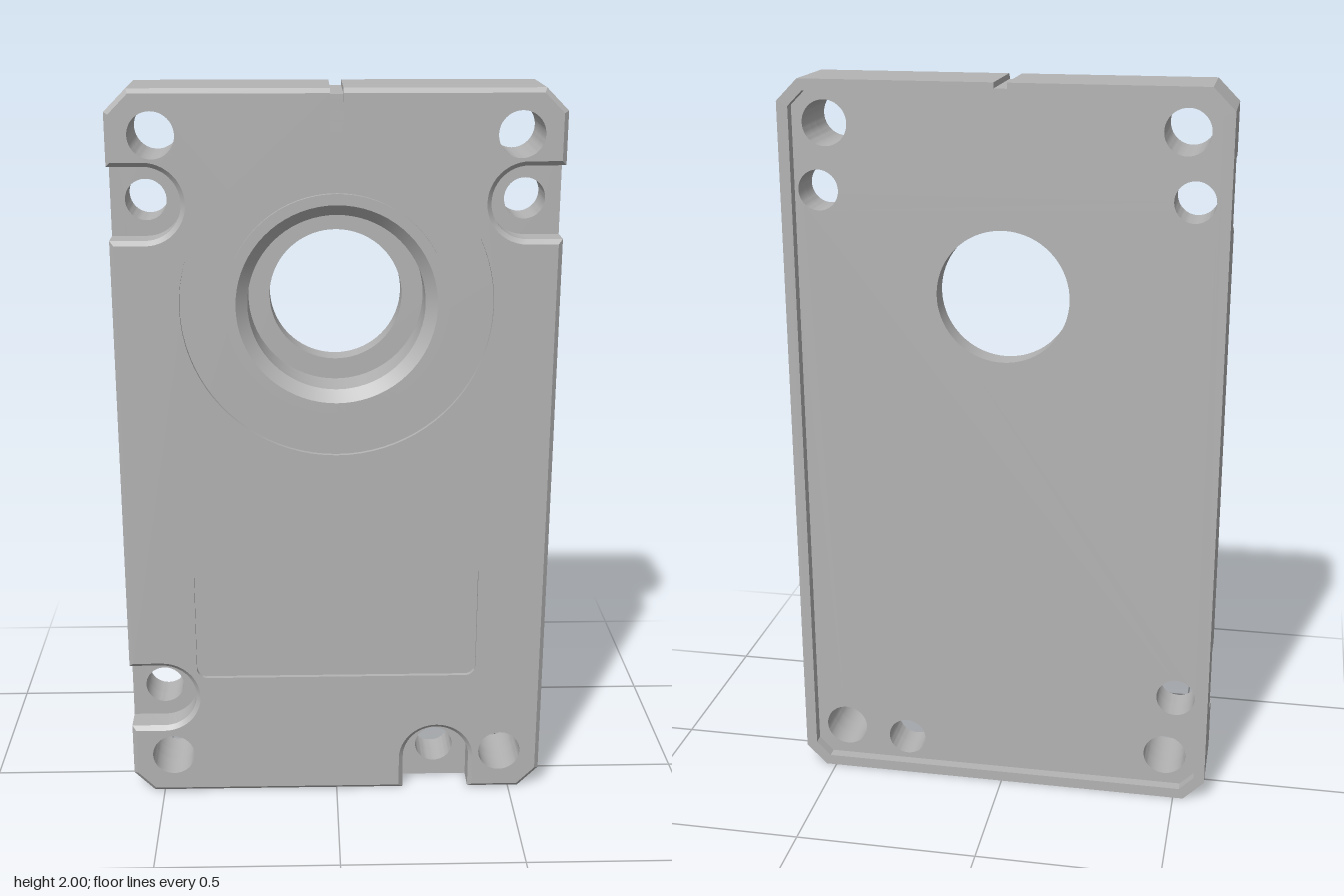
import * as THREE from 'three';
import { toCreasedNormals } from 'three/addons/utils/BufferGeometryUtils.js';

const W = 0.587, H = 2, CUT = 0.058;          // half width, height, corner cut
const BORE_Y = 1.442, RING_R = 0.412, SLOT = 0.017, CHAMFER = 0.012;
const Z = { back: -0.115, panel: -0.085, seat: -0.02, pocket: 0.034, recess: 0.103, front: 0.115 };
const CORNER_HOLES = [[-0.47, 1.885], [0.47, 1.885], [-0.47, 0.12], [0.47, 0.12]];
const POCKETS = { upperRight: [-0.495, 1.71], upperLeft: [0.493, 1.71], lowerRight: [-0.495, 0.305], bottom: [0.287, 0.1] };

const v = (x, y) => new THREE.Vector2(x, y);

function arc(cx, cy, r, a0, a1, n) {
  const pts = [];
  for (let i = 0; i <= n; i++) {
    const a = a0 + (a1 - a0) * i / n;
    pts.push(v(cx + r * Math.cos(a), cy + r * Math.sin(a)));
  }
  return pts;
}

const circle = (cx, cy, r, n = 48) => arc(cx, cy, r, 0, Math.PI * 2, n).slice(0, -1);

// Counter-clockwise plate outline, inset by d, with optional side pockets and
// either a shallow top notch or the slot leading into the round recess
function outline(d, { pockets = false, top = 'notch' } = {}) {
  const k = CUT + d * (Math.SQRT2 - 1), r = 0.095 + d, P = Math.PI, pts = [];
  pts.push(v(-W + k, d));
  if (pockets) {
    const [x, y] = POCKETS.bottom;
    pts.push(v(x - r, d), ...arc(x, y, r, P, 0, 24), v(x + r, d));
  }
  pts.push(v(W - k, d), v(W - d, k));
  if (pockets) {
    const [x, y] = POCKETS.upperLeft;
    pts.push(v(W - d, y - r), ...arc(x, y, r, -P / 2, -1.5 * P, 24), v(W - d, y + r));
  }
  pts.push(v(W - d, H - k), v(W - k, H - d));
  if (top === 'notch') {
    pts.push(v(SLOT, H - d), v(SLOT, H - 0.015), v(-SLOT, H - 0.015), v(-SLOT, H - d));
  } else if (top === 'keyhole') {
    const e = Math.asin(SLOT / RING_R);
    pts.push(v(SLOT, H - d), ...arc(0, BORE_Y, RING_R, P / 2 - e, P / 2 + e - 2 * P, 80), v(-SLOT, H - d));
  }
  pts.push(v(-W + k, H - d), v(-W + d, H - k));
  if (pockets) {
    for (const [x, y] of [POCKETS.upperRight, POCKETS.lowerRight]) {
      pts.push(v(-W + d, y + r), ...arc(x, y, r, P / 2, -P / 2 - 0, 24), v(-W + d, y - r));
    }
  }
  pts.push(v(-W + d, k));
  return pts;
}

function makeShape(points, holes) {
  const shape = new THREE.Shape(points);
  shape.holes = holes.map((h) => new THREE.Path(h));
  return shape;
}

// Flat-ended slab between two depths
function slab(points, holes, z0, z1) {
  const g = new THREE.ExtrudeGeometry(makeShape(points, holes), { depth: z1 - z0, bevelEnabled: false });
  g.translate(0, 0, z0);
  return g;
}

// Closed wall joining two loops of equal length
function wall(a, z0, b, z1) {
  const pos = [];
  for (let i = 0; i < a.length; i++) {
    const j = (i + 1) % a.length;
    const p = [a[i].x, a[i].y, z0], q = [a[j].x, a[j].y, z0];
    const s = [b[j].x, b[j].y, z1], t = [b[i].x, b[i].y, z1];
    pos.push(...p, ...q, ...s, ...p, ...s, ...t);
  }
  const g = new THREE.BufferGeometry();
  g.setAttribute('position', new THREE.Float32BufferAttribute(pos, 3));
  g.computeVertexNormals();
  return g;
}

function roundedRect(x0, y0, x1, y1, r) {
  const q = Math.PI / 2;
  return [
    ...arc(x1 - r, y0 + r, r, -q, 0, 8), ...arc(x1 - r, y1 - r, r, 0, q, 8),
    ...arc(x0 + r, y1 - r, r, q, 2 * q, 8), ...arc(x0 + r, y0 + r, r, 2 * q, 3 * q, 8),
  ];
}

export function createModel() {
  const group = new THREE.Group();
  group.name = 'housingCover';
  const metal = new THREE.MeshStandardMaterial({ color: 0xb4b4b4 });
  metal.name = 'grey metal';

  const add = (name, geometry) => {
    const mesh = new THREE.Mesh(toCreasedNormals(geometry, 0.5), metal);
    mesh.name = name;
    group.add(mesh);
  };

  const cornerHoles = CORNER_HOLES.map(([x, y]) => circle(x, y, 0.06));
  const pocketHoles = Object.values(POCKETS).map(([x, y]) => circle(x, y, 0.054));
  const bore = (r) => circle(0, BORE_Y, r, 72);

  // Raised lip around the back
  add('backRim', slab(outline(0), [outline(0.03, { top: 'plain' })], Z.back, Z.panel));

  // Core plate: narrow through hole, then the wider bore
  add('backPanel', slab(outline(0), [...cornerHoles, ...pocketHoles, bore(0.178)], Z.panel, Z.seat));
  add('corePlate', slab(outline(0), [...cornerHoles, ...pocketHoles, bore(0.235)], Z.seat, Z.pocket));

  // Layer with the screw pockets; its top is the floor of the shallow recesses
  add('pocketLayer', slab(outline(0, { pockets: true }), [...cornerHoles, bore(0.275)], Z.pocket, Z.recess));

  // Front skin with chamfered edges, keyhole recess and label recess
  const label = roundedRect(-0.396, 0.365, 0.394, 0.71, 0.03);
  const lower = outline(0, { pockets: true, top: 'keyhole' });
  const upper = outline(CHAMFER, { pockets: true, top: 'keyhole' });
  const face = new THREE.ShapeGeometry(makeShape(upper, [...cornerHoles, label]));
  face.translate(0, 0, Z.front);
  add('frontFace', face);
  add('frontChamfer', wall(lower, Z.recess, upper, Z.front));
  for (const hole of cornerHoles) {
    const loop = [...hole].reverse();
    add('cornerHoleWall', wall(loop, Z.recess, loop, Z.front));
  }
  const labelLoop = [...label].reverse();
  add('labelRecessWall', wall(labelLoop, Z.recess, labelLoop, Z.front));

  // Raised collar with a conical lead-in to the bore
  const collar = new THREE.LatheGeometry(
    [v(0.294, 0.1), v(0.294, Z.front), v(0.265, Z.front), v(0.235, 0.085), v(0.235, 0.03)], 72);
  collar.rotateX(Math.PI / 2);
  collar.translate(0, BORE_Y, 0);
  add('boreCollar', collar);

  return group;
}
